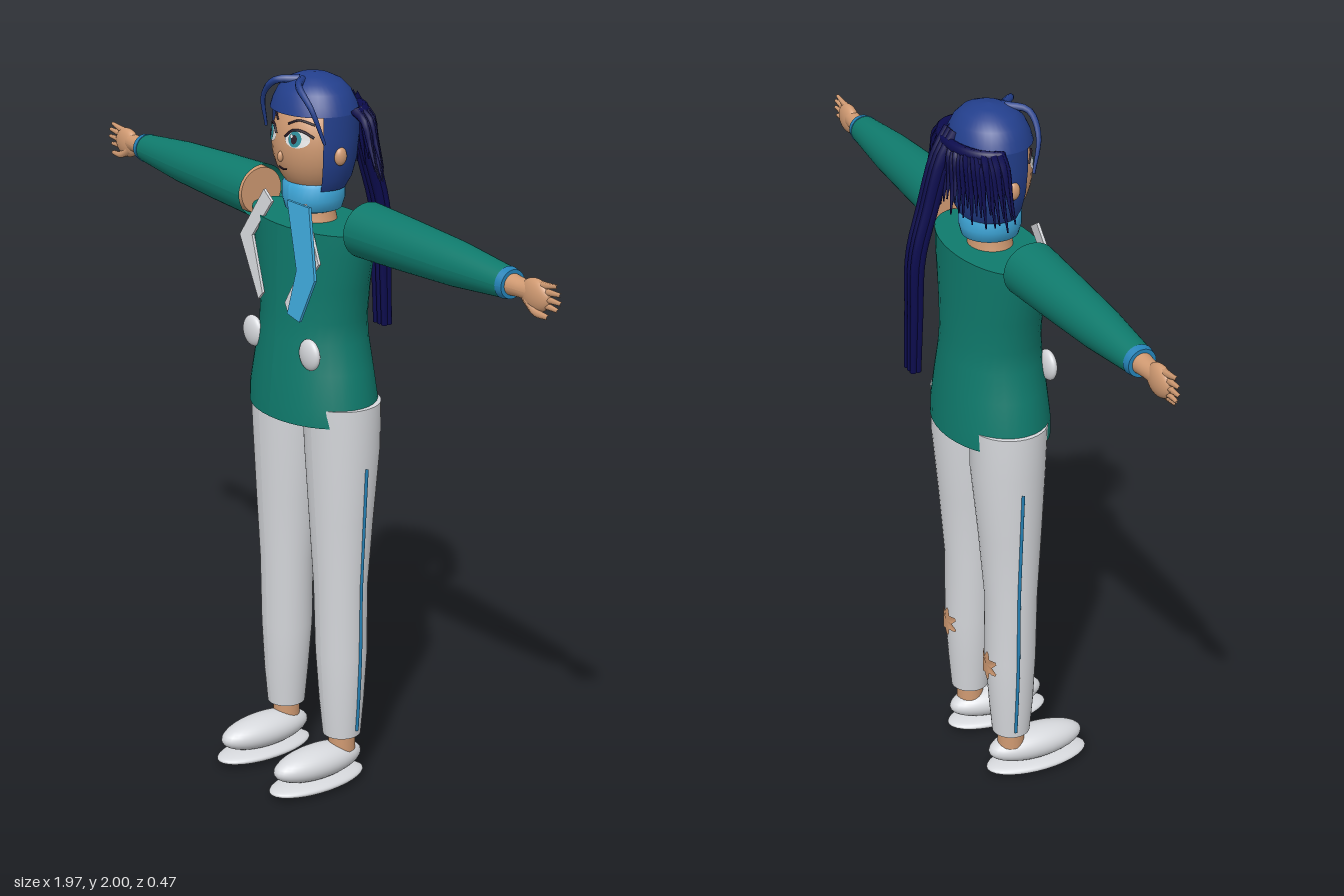
import * as THREE from 'three';

const mat = (name, color, side = THREE.FrontSide) => {
  const m = new THREE.MeshStandardMaterial({ color, side });
  m.name = name;
  return m;
};

export function createModel() {
  const model = new THREE.Group();
  model.name = 'figure';
  const D = THREE.DoubleSide;
  const skin = mat('skin', 0xd09a72);
  const hair = mat('hairBlue', 0x233f8c, D);
  const darkHair = mat('hairDark', 0x0c0c4e);
  const green = mat('jacketGreen', 0x0f7a6c, D);
  const white = mat('clothWhite', 0xd6d8dc, D);
  const blue = mat('scarfBlue', 0x3fa9dc, D);
  const trim = mat('trimBlue', 0x2583b8);
  const teal = mat('irisTeal', 0x2a8f9c);
  const eyeWhite = mat('eyeWhite', 0xf4f4f4);
  const ink = mat('ink', 0x2a1c28);

  const add = (name, geo, material, x = 0, y = 0, z = 0) => {
    const m = new THREE.Mesh(geo, material);
    m.name = name;
    m.position.set(x, y, z);
    model.add(m);
    return m;
  };
  const ball = (rx, ry, rz) => new THREE.SphereGeometry(1, 32, 20).scale(rx, ry, rz);

  // Elliptical sections listed from top to bottom: [y, rx, rz, cx, cz]
  const loft = (rings, open = false) => {
    const n = rings.length - 1;
    const g = new THREE.CylinderGeometry(1, 1, 1, 36, n, open);
    const p = g.attributes.position;
    for (let i = 0; i < p.count; i++) {
      const [y, rx, rz, cx = 0, cz = 0] = rings[Math.round((0.5 - p.getY(i)) * n)];
      p.setXYZ(i, cx + p.getX(i) * rx, y, cz + p.getZ(i) * rz);
    }
    g.computeVertexNormals();
    return g;
  };

  // Tapered lock of hair or finger along a curve
  const strand = (pts, r0, r1, seg = 8, sides = 6) => {
    const curve = new THREE.CatmullRomCurve3(pts.map(a => new THREE.Vector3(...a)));
    const g = new THREE.TubeGeometry(curve, seg, 1, sides);
    const p = g.attributes.position, v = new THREE.Vector3();
    for (let i = 0; i < p.count; i++) {
      const t = Math.floor(i / (sides + 1)) / seg, c = curve.getPointAt(t);
      v.fromBufferAttribute(p, i).sub(c).multiplyScalar(r0 + (r1 - r0) * t).add(c);
      p.setXYZ(i, v.x, v.y, v.z);
    }
    return g;
  };

  // Jacket
  add('jacket', loft([
    [1.61, 0.225, 0.118], [1.55, 0.215, 0.12], [1.45, 0.19, 0.122], [1.36, 0.174, 0.124],
    [1.3, 0.175, 0.129], [1.22, 0.192, 0.138], [1.13, 0.212, 0.146], [1.08, 0.212, 0.148],
  ]), green);
  add('hemTrim', loft([[1.085, 0.19, 0.135], [1.074, 0.185, 0.13]]), trim);

  // Neck and wrapped scarf
  add('neck', loft([[1.75, 0.055, 0.055], [1.64, 0.06, 0.055], [1.6, 0.07, 0.06]]), skin);
  add('scarfWrap', loft([
    [1.72, 0.074, 0.07], [1.705, 0.086, 0.082], [1.67, 0.086, 0.083], [1.64, 0.074, 0.076], [1.635, 0.06, 0.06],
  ], true), blue);

  // Lapels and hanging scarf end, leaning forward as they drop
  const drape = (name, pts, s, material, lift) => {
    const shape = new THREE.Shape(pts.map(([x, y]) => new THREE.Vector2(x * s, y)));
    const g = new THREE.ExtrudeGeometry(shape, { depth: 0.008, bevelEnabled: false });
    const p = g.attributes.position;
    for (let i = 0; i < p.count; i++) {
      p.setZ(i, p.getZ(i) + 0.088 + lift + (1.69 - p.getY(i)) * 0.13);
    }
    g.computeVertexNormals();
    add(name, g, material);
  };
  const lapel = [[0.09, 1.68], [0.175, 1.54], [0.065, 1.39], [0.05, 1.41], [0.12, 1.55], [0.05, 1.655]];
  drape('lapelLeft', lapel, 1, white, 0);
  drape('lapelRight', lapel, -1, white, 0);
  drape('scarfEnd', [[0.03, 1.68], [0.125, 1.68], [0.18, 1.5], [0.135, 1.38], [0.08, 1.39], [0.1, 1.51]], 1, blue, 0.012);

  // Limbs
  const legRings = [
    [1.13, 0.107, 0.105, 0.118, -0.005], [1.0, 0.104, 0.102, 0.119, -0.007], [0.8, 0.09, 0.087, 0.122, -0.002],
    [0.6, 0.077, 0.073, 0.124, 0.001], [0.4, 0.073, 0.071, 0.126, -0.001], [0.25, 0.062, 0.062, 0.129, 0], [0.15, 0.053, 0.053, 0.13, 0],
  ];
  for (const s of [-1, 1]) {
    const side = s > 0 ? 'Left' : 'Right';
    add('trouserLeg' + side, loft(legRings.map(([y, a, b, x, z]) => [y, a, b, x * s, z])), white);
    add('sideStripe' + side, strand(
      [[0.96, 0.221], [0.8, 0.211], [0.6, 0.2], [0.4, 0.198], [0.25, 0.19], [0.17, 0.184]].map(([y, x]) => [x * s, y, -0.012]),
      0.005, 0.005, 20), trim);
    // Worn patch on the calf
    const patch = new THREE.CircleGeometry(1, 36).rotateY(Math.PI);
    const pp = patch.attributes.position;
    for (let i = 0; i < pp.count; i++) {
      const k = 1 + 0.25 * Math.cos(7 * Math.atan2(pp.getY(i), pp.getX(i)));
      const x = pp.getX(i) * 0.036 * k;
      pp.setXYZ(i, x, pp.getY(i) * 0.038 * k, -0.074 * Math.sqrt(1 - (x / 0.073) ** 2));
    }
    patch.computeVertexNormals();
    add('calfPatch' + side, patch, skin, 0.126 * s, 0.385, -0.003);
    add('ankle' + side, new THREE.CylinderGeometry(0.038, 0.038, 0.1, 20), skin, 0.13 * s, 0.15, 0);
    add('shoe' + side, ball(0.06, 0.047, 0.145), white, 0.125 * s, 0.08, 0.08);
    add('sole' + side, ball(0.07, 0.021, 0.155), white, 0.125 * s, 0.024, 0.084);
    add('button' + side, ball(0.04, 0.043, 0.018), white, 0.127 * s, 1.28, 0.108);

    // Arms are lofted upright, then laid sideways
    const arm = (name, rings, m, open) =>
      add(name + side, loft(rings, open).rotateZ(-s * Math.PI / 2), m, 0, 1.627, 0);
    arm('sleeve', [[0.8, 0.036, 0.038], [0.78, 0.04, 0.041], [0.6, 0.058, 0.057], [0.4, 0.068, 0.068], [0.23, 0.074, 0.078]], green, true);
    arm('upperArm', [[0.75, 0.03, 0.03], [0.26, 0.066, 0.068], [0.235, 0.064, 0.066]], skin);
    arm('cuff', [[0.805, 0.037, 0.038], [0.785, 0.041, 0.042]], trim);
    arm('wrist', [[0.88, 0.026, 0.02], [0.84, 0.024, 0.024], [0.78, 0.03, 0.03]], skin);
    add('palm' + side, ball(0.052, 0.042, 0.022), skin, 0.89 * s, 1.622, 0);
    [[1.651, 1.662, 0.968], [1.637, 1.643, 0.98], [1.621, 1.622, 0.983], [1.606, 1.602, 0.972]].forEach(([y0, y1, x], i) =>
      add('finger' + side + i, strand([[0.9 * s, y0, 0], [0.94 * s, (y0 + y1) / 2, 0], [x * s, y1, 0]], 0.011, 0.005), skin));
    add('thumb' + side, strand([[0.87 * s, 1.607, 0.006], [0.905 * s, 1.585, 0.012], [0.95 * s, 1.582, 0.012]], 0.015, 0.006), skin);
  }

  // Head and face
  add('head', ball(0.115, 0.145, 0.108), skin, 0, 1.82, 0);
  const faceZ = (x, y) => 0.108 * Math.sqrt(Math.max(0, 1 - (x / 0.115) ** 2 - ((y - 1.82) / 0.145) ** 2));
  const decal = (name, x, y, rx, ry, material, lift) => {
    const g = new THREE.CircleGeometry(1, 24).scale(rx, ry, 1).translate(x, y, 0);
    const p = g.attributes.position;
    for (let i = 0; i < p.count; i++) p.setZ(i, faceZ(p.getX(i), p.getY(i)) + lift);
    g.computeVertexNormals();
    add(name, g, material);
  };
  const faceLine = (name, pts, r, m) =>
    add(name, strand(pts.map(([x, y]) => [x, y, faceZ(x, y) + 0.002]), r, r, 10, 5), m);
  for (const s of [-1, 1]) {
    decal('eyeWhite', 0.052 * s, 1.843, 0.032, 0.022, eyeWhite, 0.002);
    decal('iris', 0.05 * s, 1.844, 0.017, 0.021, teal, 0.004);
    decal('pupil', 0.05 * s, 1.844, 0.008, 0.012, ink, 0.006);
    decal('eyeGlint', 0.05 * s - 0.006, 1.853, 0.004, 0.005, eyeWhite, 0.008);
    faceLine('upperLash', [[0.019 * s, 1.847], [0.04 * s, 1.866], [0.065 * s, 1.866], [0.09 * s, 1.85]], 0.0035, ink);
    faceLine('eyebrow', [[0.022 * s, 1.88], [0.05 * s, 1.892], [0.085 * s, 1.882]], 0.003, ink);
    add('ear', ball(0.014, 0.025, 0.018), skin, 0.122 * s, 1.8, 0.005);
  }
  add('nose', ball(0.008, 0.014, 0.008), skin, 0, 1.79, 0.108);
  faceLine('mouth', [[-0.018, 1.758], [0, 1.755], [0.018, 1.758]], 0.0025, ink);

  // Hair: full crown above the hairline, then sides and back left open at the face
  const V = (r, y) => new THREE.Vector2(r, y);
  add('crown', new THREE.LatheGeometry(
    [V(0.128, 1.905), V(0.12, 1.93), V(0.105, 1.957), V(0.08, 1.98), V(0.045, 1.994), V(0, 2)], 40)
    .scale(1, 1, 0.86), hair, 0, 0, -0.003);
  add('hairBack', new THREE.LatheGeometry(
    [V(0.09, 1.7), V(0.108, 1.73), V(0.122, 1.78), V(0.128, 1.84), V(0.128, 1.906)], 40, 1.05, 2 * Math.PI - 2.1)
    .scale(1, 1, 0.86), hair, 0, 0, -0.003);
  for (const s of [-1, 1]) {
    add('bang', strand([[0.005 * s, 1.985, 0.04], [0.05 * s, 1.98, 0.085], [0.105 * s, 1.93, 0.085], [0.128 * s, 1.84, 0.06]], 0.012, 0.004, 14), hair);
  }

  // Gathered band with a fan of locks around the back
  const locks = 36;
  const arc = (a, r, y, d) => [r * Math.sin(a), y, -0.03 - d * Math.cos(a)];
  const bandPts = [];
  for (let i = 0; i <= 12; i++) bandPts.push(arc(-1.5 + i * 0.25, 0.135, 1.908, 0.085));
  add('hairBand', strand(bandPts, 0.016, 0.016, 28, 8), darkHair);
  for (let i = 0; i < locks; i++) {
    const a = -1.5 + 3 * i / (locks - 1);
    const j = 0.022 * Math.sin(i * 2.4);
    add('backLock' + i, strand([
      arc(a, 0.13, 1.915, 0.08), arc(a, 0.168, 1.885 + j * 0.4, 0.095),
      arc(a, 0.19, 1.82 + j, 0.1), arc(a, 0.218, 1.755 + j, 0.108),
    ], 0.013, 0.002, 8, 5), darkHair);
  }

  // Long ponytail
  for (let i = 0; i < 6; i++) {
    const x = 0.02 + (i % 3 - 1) * 0.018, z = i < 3 ? 0 : 0.014;
    add('ponytail' + i, strand([
      [x, 1.935, -0.095 + z], [x, 1.87, -0.135 + z], [x, 1.73, -0.178 + z],
      [x, 1.6, -0.213 + z], [x, 1.44, -0.22 + z], [x, 1.275, -0.226 + z],
    ], 0.017, 0.009, 18), darkHair);
  }
  return model;
}
